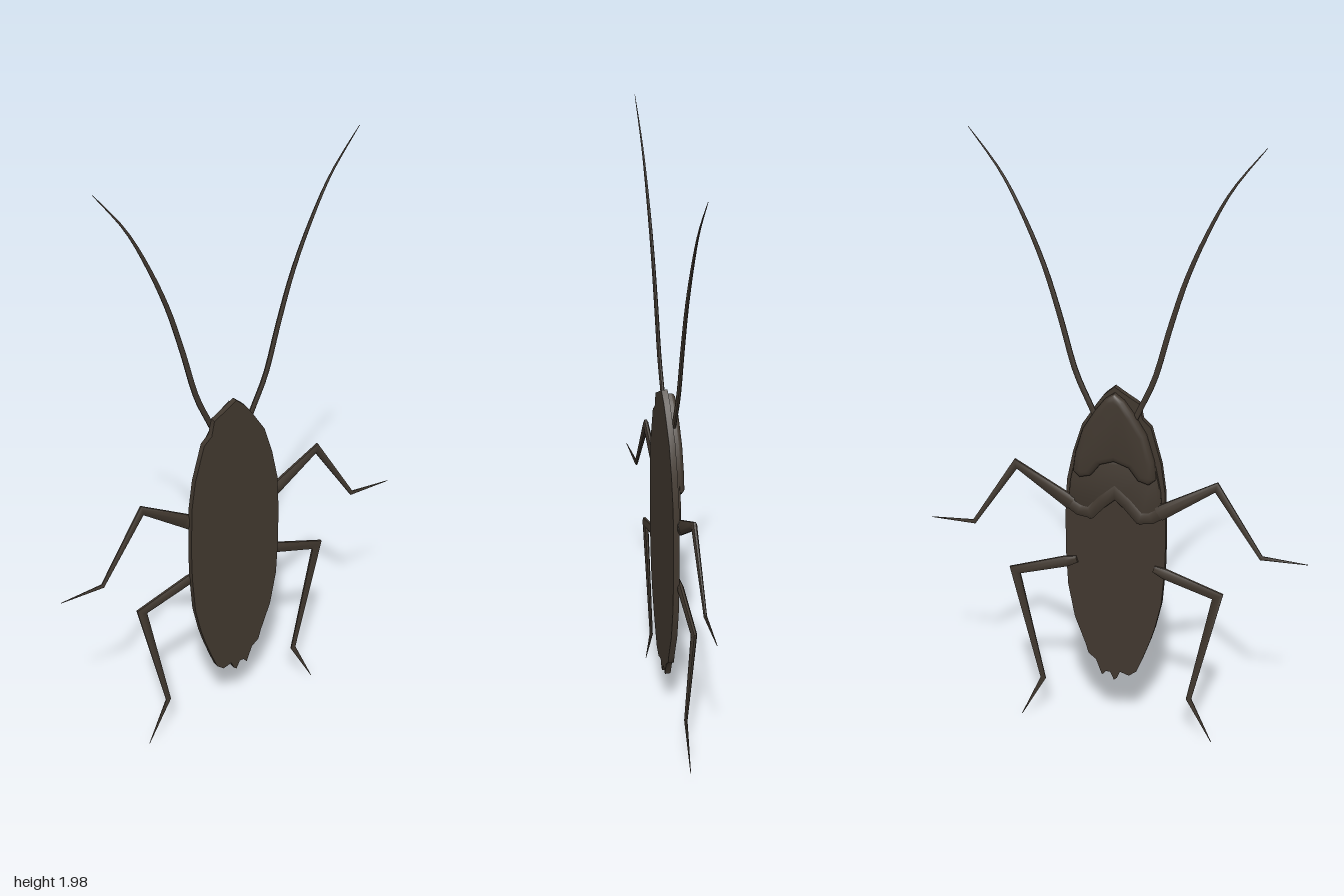
import * as THREE from 'three';
import { toCreasedNormals } from 'three/addons/utils/BufferGeometryUtils.js';

const MID = -0.01; // the body's own centre line
const shell = new THREE.MeshStandardMaterial({ color: 0x41382f });
shell.name = 'dark brown shell';

const mirror = (pts) => pts.map(([x, ...rest]) => [2 * MID - x, ...rest]);

function add(group, name, geometry) {
  const mesh = new THREE.Mesh(geometry, shell);
  mesh.name = name;
  group.add(mesh);
}

// Flat plate from an outline, optionally with rounded edges
function plate(outline, zBack, zFront, bevel = 0, inset = 0) {
  const shape = new THREE.Shape(outline.map(([x, y]) => new THREE.Vector2(x, y)));
  const geometry = new THREE.ExtrudeGeometry(shape, {
    depth: zFront - zBack - 2 * bevel, bevelEnabled: bevel > 0, bevelThickness: bevel,
    bevelSize: inset, bevelOffset: -inset, bevelSegments: 3,
  });
  geometry.translate(0, 0, zBack + bevel);
  return toCreasedNormals(geometry, 0.7);
}

// Tapered limb along points [x, y, half width, half depth, z], mitred at the joints
function limb(points, sides = 8) {
  const pts = [[...points[0]], ...points];
  pts[0][2] = pts[0][3] = 0; // closes the inner end
  const dir = (a, b) => new THREE.Vector2(b[0] - a[0], b[1] - a[1]).normalize();
  const position = [], index = [];
  pts.forEach(([x, y, w, d, z], i) => {
    const k = Math.max(i, 1), last = pts.length - 1;
    const after = dir(pts[Math.min(k, last - 1)], pts[Math.min(k, last - 1) + 1]);
    const before = k > 1 ? dir(pts[k - 1], pts[k]) : after;
    const t = before.clone().add(after).normalize();
    const wide = w / Math.max(t.dot(after), 0.6);
    for (let j = 0; j < sides; j++) {
      const a = ((j + 0.5) / sides) * Math.PI * 2;
      const c = Math.cos(a) * wide;
      position.push(x - t.y * c, y + t.x * c, z + Math.sin(a) * d);
      if (i < last) {
        const j2 = (j + 1) % sides, p = i * sides, q = p + sides;
        index.push(p + j, p + j2, q + j, p + j2, q + j2, q + j);
      }
    }
  });
  const geometry = new THREE.BufferGeometry();
  geometry.setAttribute('position', new THREE.Float32BufferAttribute(position, 3));
  geometry.setIndex(index);
  return toCreasedNormals(geometry, 0.9);
}

export function createModel() {
  const group = new THREE.Group();

  // Long flat body with a ragged tail
  add(group, 'body', plate([
    [-0.007, 1.228], [-0.035, 1.21], [-0.085, 1.18], [-0.095, 1.13], [-0.122, 1.105], [-0.155, 0.985],
    [-0.168, 0.89], [-0.172, 0.735], [-0.17, 0.63], [-0.16, 0.5], [-0.14, 0.41], [-0.125, 0.36],
    [-0.1, 0.29], [-0.08, 0.24], [-0.055, 0.22], [-0.025, 0.23], [-0.015, 0.205], [-0.005, 0.197], [0.008, 0.225],
    [0.022, 0.225], [0.035, 0.21], [0.055, 0.265], [0.08, 0.285], [0.09, 0.32], [0.125, 0.415], [0.146, 0.53],
    [0.152, 0.65], [0.152, 0.78], [0.146, 0.9], [0.125, 1.0], [0.095, 1.095], [0.05, 1.165], [0.025, 1.2],
  ], 0.002, 0.021));

  // Domed neck shield with a scalloped rear edge
  const shield = [
    [0.02, 1.19], [0.05, 1.15], [0.09, 1.085], [0.115, 1.0], [0.122, 0.94], [0.1, 0.92], [0.065, 0.93], [0.035, 0.97],
  ];
  add(group, 'neckShield', plate(
    [[MID, 1.212], ...shield, [MID, 0.985], ...mirror(shield).reverse()], -0.024, 0.012, 0.014, 0.02));

  // Thin wavy plate behind the shield
  const back = [[0.118, 0.98], [0.134, 0.9], [0.14, 0.83], [0.105, 0.79], [0.07, 0.775], [0.035, 0.81]];
  add(group, 'backPlate', plate(
    [[MID, 1.0], ...back, [MID, 0.85], ...mirror(back).reverse()], -0.008, 0.012, 0.006, 0.008));

  // Ridge joining the front legs across the back
  const ridge = [[0.16, 0.842], [0.105, 0.805], [0.07, 0.8], [0.03, 0.845]];
  add(group, 'legRidge', limb(
    [...ridge, [MID, 0.88], ...mirror(ridge).reverse()].map(([x, y]) => [x, y, 0.022, 0.011, -0.002])));

  const frontLeg = [
    [0.13, 0.823, 0.026, 0.011, -0.003], [0.31, 0.936, 0.013, 0.009, -0.003],
    [0.455, 0.713, 0.007, 0.005, -0.002], [0.6, 0.709, 0.001, 0.001, 0],
  ];
  const hindLeg = [
    [0.115, 0.625, 0.012, 0.007, 0], [0.15, 0.614, 0.019, 0.01, -0.002], [0.322, 0.558, 0.016, 0.009, -0.002],
    [0.235, 0.167, 0.009, 0.005, 0], [0.311, 0.015, 0.001, 0.001, 0.002],
  ];
  // Antenna swept outward along a smooth curve, tapering to the tip
  const sweep = new THREE.SplineCurve([
    [0.045, 1.115], [0.068, 1.165], [0.115, 1.275], [0.158, 1.435], [0.205, 1.59],
    [0.265, 1.737], [0.335, 1.872], [0.43, 1.998],
  ].map(([x, y]) => new THREE.Vector2(x, y)));
  const antenna = sweep.getPoints(24).map((p, i) => {
    const r = 0.0085 * (1 - (i / 24) ** 3) + 0.0008;
    return [p.x, p.y, r, r * 0.7, -0.003];
  });

  // Paired limbs
  for (const [side, place] of [['left', (p) => p], ['right', mirror]]) {
    add(group, side + 'FrontLeg', limb(place(frontLeg)));
    add(group, side + 'HindLeg', limb(place(hindLeg)));
    add(group, side + 'Antenna', limb(place(antenna)));
  }
  return group;
}
